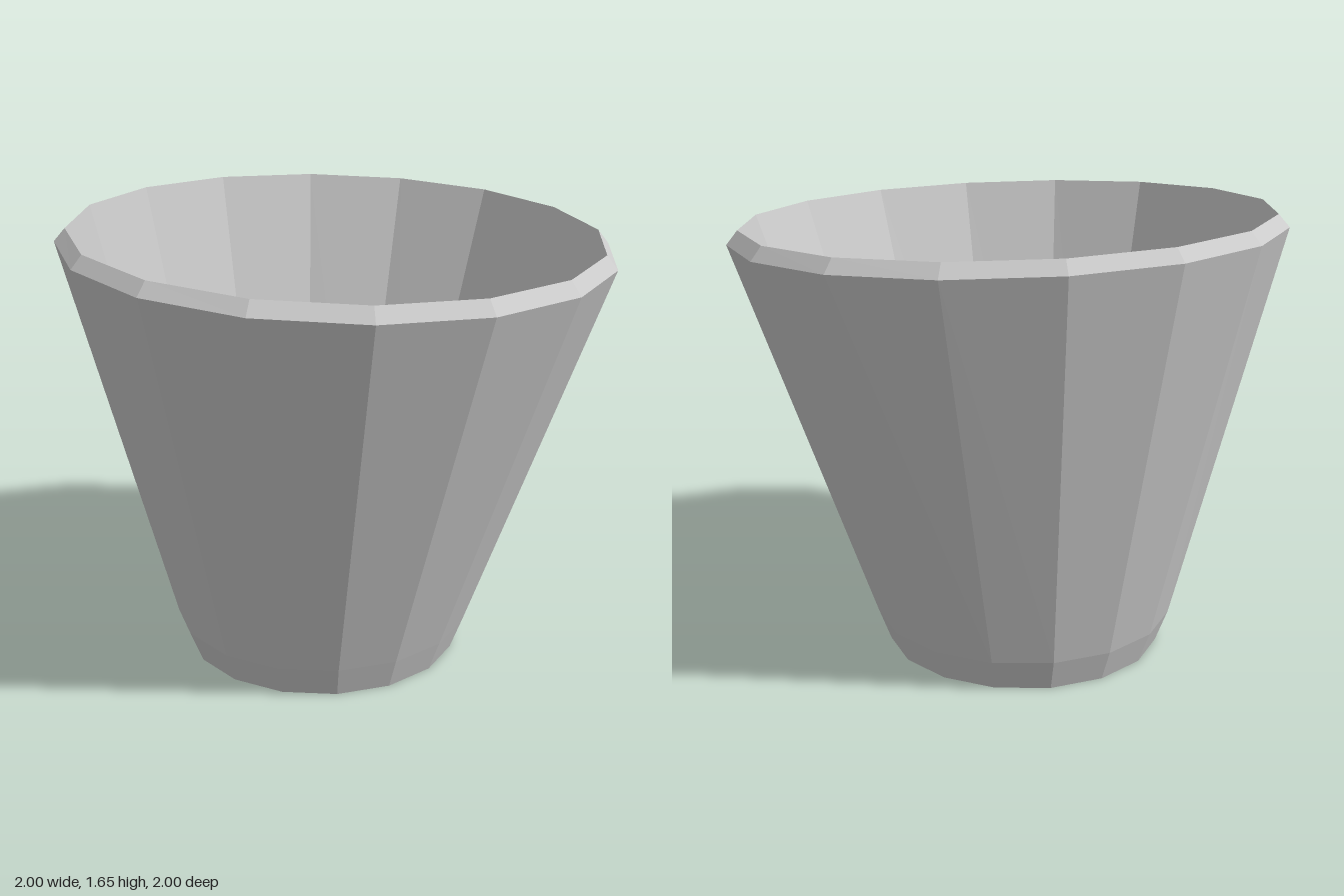
import * as THREE from 'three';

const SIDES = 16;

// A point on a ring; tilt slopes the ring so its back-left side is higher
function ringPoint({ r, y, cx = 0, cz = 0, tilt = 0 }, i) {
  const a = ((i % SIDES) / SIDES) * Math.PI * 2;
  const x = r * Math.cos(a), z = r * Math.sin(a);
  return [cx + x, y - tilt * (x + z), cz + z];
}

// Joins successive rings into a faceted skin; a zero radius closes it to a point
function loft(name, rings, material) {
  const pos = [];
  for (let k = 0; k < rings.length - 1; k++) {
    const lo = rings[k], hi = rings[k + 1];
    for (let i = 0; i < SIDES; i++) {
      const a = ringPoint(lo, i), b = ringPoint(hi, i);
      const c = ringPoint(hi, i + 1), d = ringPoint(lo, i + 1);
      if (hi.r > 0) pos.push(...a, ...b, ...c);
      if (lo.r > 0) pos.push(...a, ...c, ...d);
    }
  }
  const geometry = new THREE.BufferGeometry();
  geometry.setAttribute('position', new THREE.Float32BufferAttribute(pos, 3));
  geometry.computeVertexNormals();
  const mesh = new THREE.Mesh(geometry, material);
  mesh.name = name;
  return mesh;
}

export function createModel() {
  const group = new THREE.Group();
  group.name = 'cup';
  const material = new THREE.MeshStandardMaterial({ color: 0xcccccc, flatShading: true });

  // The foot sits slightly off-centre under the tilted rim
  const foot = { cx: -0.055, cz: -0.038 };
  const base = { ...foot, r: 0.515, y: 0 };
  const bend = { ...foot, r: 0.56, y: 0.12 };
  const rimOuter = { r: 1, y: 1.565, tilt: 0.029 };
  const rimInner = { r: 0.96, y: 1.613, tilt: 0.028 };
  const innerBend = { ...foot, r: 0.508, y: 0.135 };
  const floor = { ...foot, r: 0.48, y: 0.05 };

  group.add(
    loft('underside', [{ ...base, r: 0 }, base], material),
    loft('outerWall', [base, bend, rimOuter], material),
    loft('rim', [rimOuter, rimInner], material),
    loft('innerWall', [rimInner, innerBend, floor], material),
    loft('floor', [floor, { ...floor, r: 0 }], material),
  );
  return group;
}
